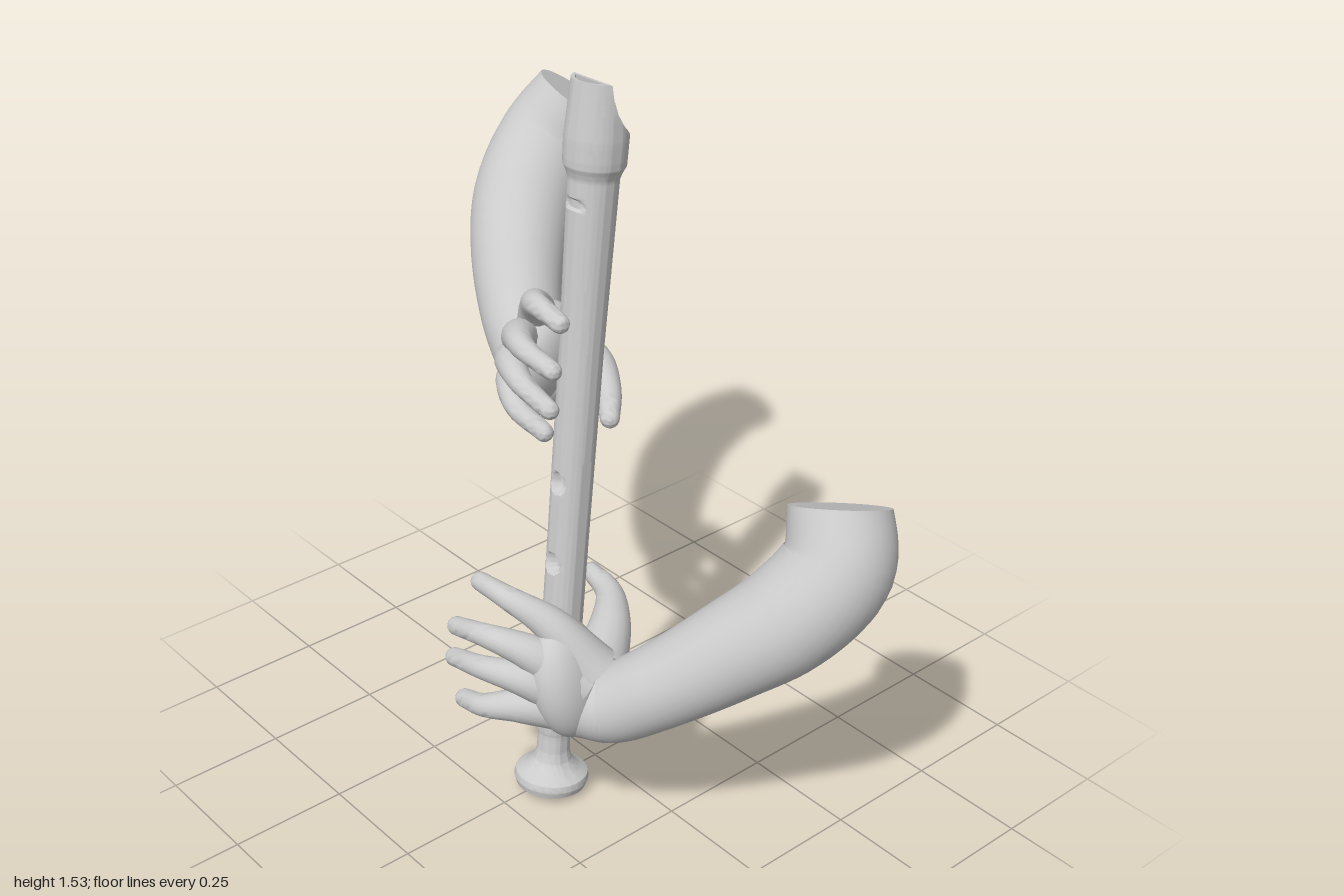
import * as THREE from 'three';
import { mergeVertices, toCreasedNormals } from 'three/addons/utils/BufferGeometryUtils.js';

const grey = new THREE.MeshStandardMaterial({ color: 0xcccccc, side: THREE.DoubleSide });
const vec = (p) => new THREE.Vector3(...p);

function addMesh(parent, name, geometry) {
  const mesh = new THREE.Mesh(geometry, grey);
  mesh.name = name;
  parent.add(mesh);
  return mesh;
}

// Tapered limb: points are [x, y, z, radius]; flat at the start, domed at the end
function limb(points, steps, sides) {
  const path = new THREE.CatmullRomCurve3(points.map((p) => vec(p.slice(0, 3))));
  const radii = new THREE.CatmullRomCurve3(points.map((p, i) => new THREE.Vector3(p[3], i, 0)));
  const rings = [];
  for (let i = 0; i <= steps; i++) {
    const t = i / steps;
    rings.push({ c: path.getPoint(t), tan: path.getTangent(t), r: radii.getPoint(t).x });
  }
  const end = rings[steps];
  for (let k = 1; k <= 6; k++) {
    const a = (k / 6) * Math.PI / 2;
    const c = end.c.clone().addScaledVector(end.tan, end.r * Math.sin(a));
    rings.push({ c, tan: end.tan, r: Math.max(end.r * Math.cos(a), 1e-4) });
  }
  const position = [], index = [];
  const ref = new THREE.Vector3(0, 0, 1);
  for (const { c, tan, r } of rings) {
    const u = tan.clone().cross(ref).normalize();
    const v = tan.clone().cross(u);
    for (let j = 0; j < sides; j++) {
      const a = (j / sides) * Math.PI * 2;
      const p = c.clone().addScaledVector(u, r * Math.cos(a)).addScaledVector(v, r * Math.sin(a));
      position.push(p.x, p.y, p.z);
    }
  }
  for (let i = 0; i < rings.length - 1; i++) {
    for (let j = 0; j < sides; j++) {
      const a = i * sides + j, b = i * sides + (j + 1) % sides;
      index.push(a, b, a + sides, b, b + sides, a + sides);
    }
  }
  // flat cut at the start
  const centre = position.length / 3;
  position.push(...rings[0].c.toArray());
  for (let j = 0; j < sides; j++) index.push(centre, (j + 1) % sides, j);
  const g = new THREE.BufferGeometry();
  g.setAttribute('position', new THREE.Float32BufferAttribute(position, 3));
  g.setIndex(index);
  return toCreasedNormals(g, 0.8);
}

// Arm, palm, four fingers and thumb
function buildArm(name, spec) {
  const group = new THREE.Group();
  group.name = name;
  addMesh(group, 'arm', limb(spec.arm, 48, 32));
  const palm = addMesh(group, 'palm', new THREE.SphereGeometry(1, 32, 24));
  palm.position.set(...spec.palm.at);
  palm.scale.set(...spec.palm.size);
  palm.rotation.set(...spec.palm.turn);
  for (const [finger, joints] of Object.entries(spec.fingers)) {
    const r = finger === 'thumb' ? [0.06, 0.042, 0.028, 0.02] : [0.056, 0.036, 0.024, 0.019];
    addMesh(group, finger, limb(joints.map((p, i) => [...p, r[i]]), 24, 16));
  }
  return group;
}

// Recorder: turned profile with bore, finger holes and a slanted mouthpiece
function buildRecorder() {
  const group = new THREE.Group();
  group.name = 'recorder';
  const profile = [
    [0.0005, 0.12], [0.028, 0.11], [0.03, 0.05], [0.055, 0.012], [0.064, 0.002], [0.074, 0.008],
    [0.079, 0.024], [0.076, 0.036], [0.055, 0.05], [0.041, 0.066], [0.035, 0.088], [0.034, 0.13],
    [0.038, 0.145], [0.038, 0.158], [0.045, 0.172], [0.048, 0.25], [0.047, 0.259], [0.042, 0.264],
    [0.042, 0.6], [0.044, 1.0], [0.05, 1.344], [0.054, 1.356], [0.061, 1.37], [0.062, 1.42],
    [0.055, 1.531], [0.047, 1.531], [0.042, 1.485], [0.0005, 1.485],
  ];
  const rows = [new THREE.Vector2(...profile[0])];
  for (let i = 1; i < profile.length; i++) {
    const [r0, y0] = profile[i - 1], [r, y] = profile[i];
    const n = Math.max(1, Math.round(Math.abs(y - y0) / 0.005));
    for (let k = 1; k <= n; k++) {
      rows.push(new THREE.Vector2(r0 + (r - r0) * k / n, y0 + (y - y0) * k / n));
    }
  }
  const lathe = new THREE.LatheGeometry(rows, 80, Math.PI);
  lathe.deleteAttribute('uv');
  lathe.deleteAttribute('normal');
  const g = mergeVertices(lathe, 1e-5);

  // [height, half width, half height, depth] of each opening on the front
  const holes = [0.212, 0.355, 0.54, 0.718].map((y) => [y, 0.024, 0.024, 0.024]);
  holes.push([1.296, 0.034, 0.012, 0.006]);
  // how far back the mouthpiece reaches at each height
  const cut = [[1.412, -0.062], [1.425, -0.054], [1.438, -0.035], [1.452, -0.016], [1.475, 0.001],
    [1.505, 0.013], [1.54, 0.02]];
  const pos = g.attributes.position;
  const p = new THREE.Vector3();
  for (let i = 0; i < pos.count; i++) {
    p.fromBufferAttribute(pos, i);
    const r = Math.hypot(p.x, p.z);
    if (p.z > 0 && r > 0.038 && p.y > 0.17) {
      const arc = Math.atan2(p.x, p.z) * r;
      for (const [y, w, h, depth] of holes) {
        const d = Math.hypot(arc / w, (p.y - y) / h);
        if (d < 1) {
          const k = (r - depth * Math.min(1, (1 - d) * 4)) / r;
          p.x *= k;
          p.z *= k;
        }
      }
    }
    for (let k = 1; k < cut.length; k++) {
      const [y0, z0] = cut[k - 1], [y1, z1] = cut[k];
      if (p.y >= y0 && p.y < y1) {
        const inset = r < 0.05 ? 0.008 : 0;
        p.z = Math.max(p.z, z0 + (z1 - z0) * (p.y - y0) / (y1 - y0) + inset);
      }
    }
    pos.setXYZ(i, p.x, p.y, p.z);
  }
  addMesh(group, 'recorderBody', toCreasedNormals(g, 0.7));

  const base = vec([0.016, 0.008, -0.113]), tip = vec([-0.022, 1.535, -0.29]);
  group.position.copy(base);
  group.quaternion.setFromUnitVectors(new THREE.Vector3(0, 1, 0), tip.sub(base).normalize());
  return group;
}

export function createModel() {
  const model = new THREE.Group();
  model.name = 'recorderPlayerArms';
  model.add(buildRecorder());

  model.add(buildArm('rightArm', {
    arm: [[-0.51, 1.275, -0.64, 0.098], [-0.542, 1.185, -0.585, 0.11], [-0.52, 1.09, -0.5, 0.112],
      [-0.45, 1.0, -0.42, 0.102], [-0.345, 0.9, -0.345, 0.085], [-0.255, 0.845, -0.31, 0.078],
      [-0.205, 0.85, -0.29, 0.072]],
    palm: { at: [-0.185, 0.905, -0.265], size: [0.066, 0.122, 0.095], turn: [0, 0.4, -0.25] },
    fingers: {
      indexFinger: [[-0.21, 0.92, -0.29], [-0.155, 1.03, -0.235], [-0.085, 1.08, -0.18], [-0.002, 1.072, -0.17]],
      middleFinger: [[-0.21, 0.9, -0.27], [-0.15, 0.985, -0.185], [-0.07, 1.005, -0.135], [0.01, 0.985, -0.14]],
      ringFinger: [[-0.21, 0.87, -0.26], [-0.155, 0.935, -0.17], [-0.07, 0.935, -0.125], [0.012, 0.905, -0.13]],
      littleFinger: [[-0.21, 0.85, -0.26], [-0.16, 0.885, -0.175], [-0.095, 0.865, -0.135], [-0.025, 0.835, -0.145]],
      thumb: [[-0.21, 0.87, -0.32], [-0.14, 0.88, -0.36], [-0.05, 0.855, -0.33], [0.015, 0.835, -0.28]],
    },
  }));

  model.add(buildArm('leftArm', {
    arm: [[0.51, 0.802, -0.425, 0.099], [0.545, 0.705, -0.39, 0.109], [0.51, 0.61, -0.315, 0.108],
      [0.43, 0.52, -0.23, 0.098], [0.325, 0.42, -0.135, 0.085], [0.25, 0.365, -0.085, 0.08],
      [0.21, 0.36, -0.055, 0.074]],
    palm: { at: [0.185, 0.42, -0.025], size: [0.066, 0.128, 0.092], turn: [0, 0.4, 0.2] },
    fingers: {
      indexFinger: [[0.22, 0.44, -0.06], [0.16, 0.54, -0.005], [0.09, 0.583, 0.04], [0.005, 0.583, 0.045]],
      middleFinger: [[0.215, 0.42, -0.04], [0.155, 0.495, 0.045], [0.085, 0.515, 0.09], [-0.01, 0.492, 0.095]],
      ringFinger: [[0.21, 0.38, -0.035], [0.155, 0.44, 0.06], [0.08, 0.443, 0.1], [-0.015, 0.417, 0.1]],
      littleFinger: [[0.2, 0.355, -0.03], [0.15, 0.375, 0.065], [0.095, 0.365, 0.11], [0.03, 0.347, 0.112]],
      thumb: [[0.2, 0.42, -0.09], [0.145, 0.46, -0.17], [0.08, 0.48, -0.222], [0.01, 0.49, -0.235]],
    },
  }));
  return model;
}
